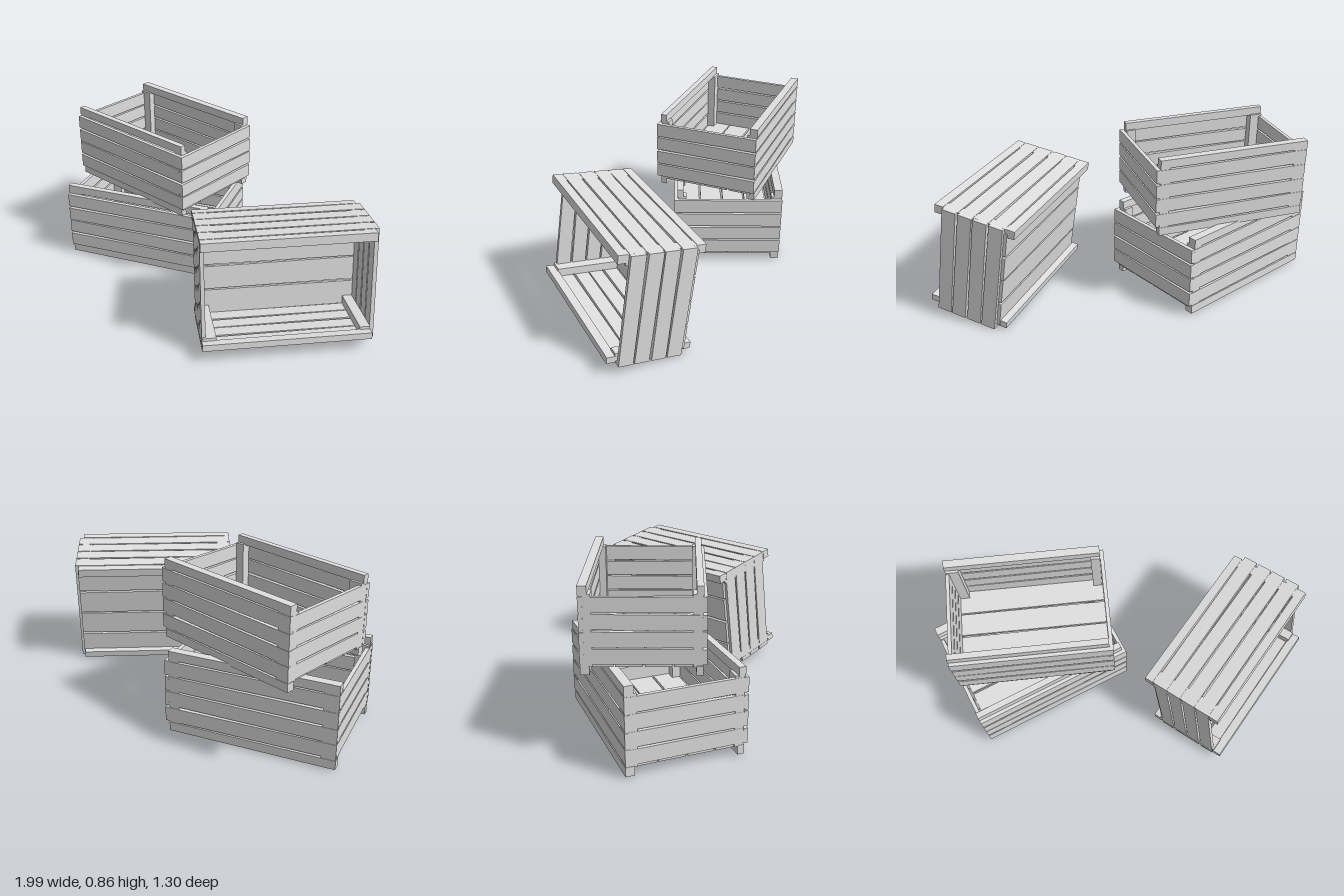
import * as THREE from 'three';

const L = 0.83, W = 0.564, H = 0.418; // crate size before scaling
const T = 0.02;                       // thickness of the thin planks
const PITCH = 0.081, PLANK = 0.072;   // plank spacing and height
const RAIL = 0.044, DEPTH = 0.042;    // rail height and thickness

export function createModel() {
  const wood = new THREE.MeshStandardMaterial({ color: 0xe0e0e0 });
  wood.name = 'paleGreyWood';

  // box spanning x0..x1 and z0..z1, centred on height y
  function board(parent, name, [x0, x1], y, height, [z0, z1]) {
    const mesh = new THREE.Mesh(new THREE.BoxGeometry(x1 - x0, height, z1 - z0), wood);
    mesh.name = name;
    mesh.position.set((x0 + x1) / 2, y, (z0 + z1) / 2);
    parent.add(mesh);
    return mesh;
  }

  function makeCrate(name, scale) {
    const crate = new THREE.Group();
    crate.name = name;
    const a = L / 2, b = W / 2;
    const wall = [-a, a - T];                 // long walls reach the -x end
    const frontRail = [b - T - DEPTH + 0.014, b - 0.006 - 0.01];
    const backRail = [-b, -b + DEPTH];
    // slightly uneven nailing angles
    const skew = [0.004, -0.005, 0.006, -0.003, -0.006, 0.005, 0.002, -0.004];

    // thick rails along the top and bottom of each long wall
    for (const v of [-1, 1]) {
      const rail = v > 0 ? 'TopRail' : 'BottomRail';
      const y = v * (H - RAIL) / 2;
      board(crate, 'front' + rail, wall, y, RAIL, frontRail);
      board(crate, 'back' + rail, wall, y, RAIL, backRail);
    }

    // four planks on each wall
    for (let i = 0; i < 4; i++) {
      const y = (i - 1.5) * PITCH;
      board(crate, 'frontPlank', wall, y, PLANK, [b - T, b]).rotation.z = skew[i];
      board(crate, 'backPlank', wall, y, PLANK, [-b, -b + T]).rotation.z = skew[i + 4];
      board(crate, 'rightEndPlank', [-a + 0.001, -a + T], y, PLANK, [-b + T, b - T])
        .rotation.x = skew[7 - i];
      board(crate, 'leftEndPlank', [a - T, a], y, PLANK, [-b, b]).rotation.x = skew[3 - i];
    }

    // corner posts inside the walls; the back ones close the gaps at the corners
    for (const x of [[-a + 0.002, -a + T + 0.05], [a - T - 0.05, a - T - 0.001]]) {
      board(crate, 'frontPost', x, 0, H - 2 * RAIL + 0.01, [b - 0.062, b - T]);
      board(crate, 'backPost', x, 0, H - 2 * RAIL + 0.01, [-b + 0.002, -b + 0.056]);
    }

    // floor boards running lengthwise
    const pitch = (W - 2 * T) / 4;
    for (let i = 0; i < 4; i++) {
      const z = (i - 1.5) * pitch, half = (pitch - 0.009) / 2;
      board(crate, 'floorBoard', [-a + T - 0.006, a - T + 0.006], -H / 2 + 0.042, 0.016,
        [z - half, z + half]).rotation.y = skew[i] * 0.6;
    }
    crate.scale.setScalar(scale);
    return crate;
  }

  const model = new THREE.Group();
  model.name = 'crateStack';
  const deg = THREE.MathUtils.degToRad;

  const lower = makeCrate('lowerCrate', 1.064);
  lower.position.set(-0.522, 0.234, -0.252);
  lower.rotation.y = deg(8);

  const upper = makeCrate('upperCrate', 1);
  upper.position.set(-0.482, 0.655, -0.277);
  upper.rotation.y = deg(-13.9);

  // crate lying on its long wall with the opening tipped slightly up
  const tipped = makeCrate('tippedCrate', 1.072);
  tipped.position.set(0.493, 0.327, 0.184);
  tipped.rotation.order = 'YXZ';
  tipped.rotation.set(deg(82), deg(34.9), 0);

  model.add(lower, upper, tipped);
  return model;
}
